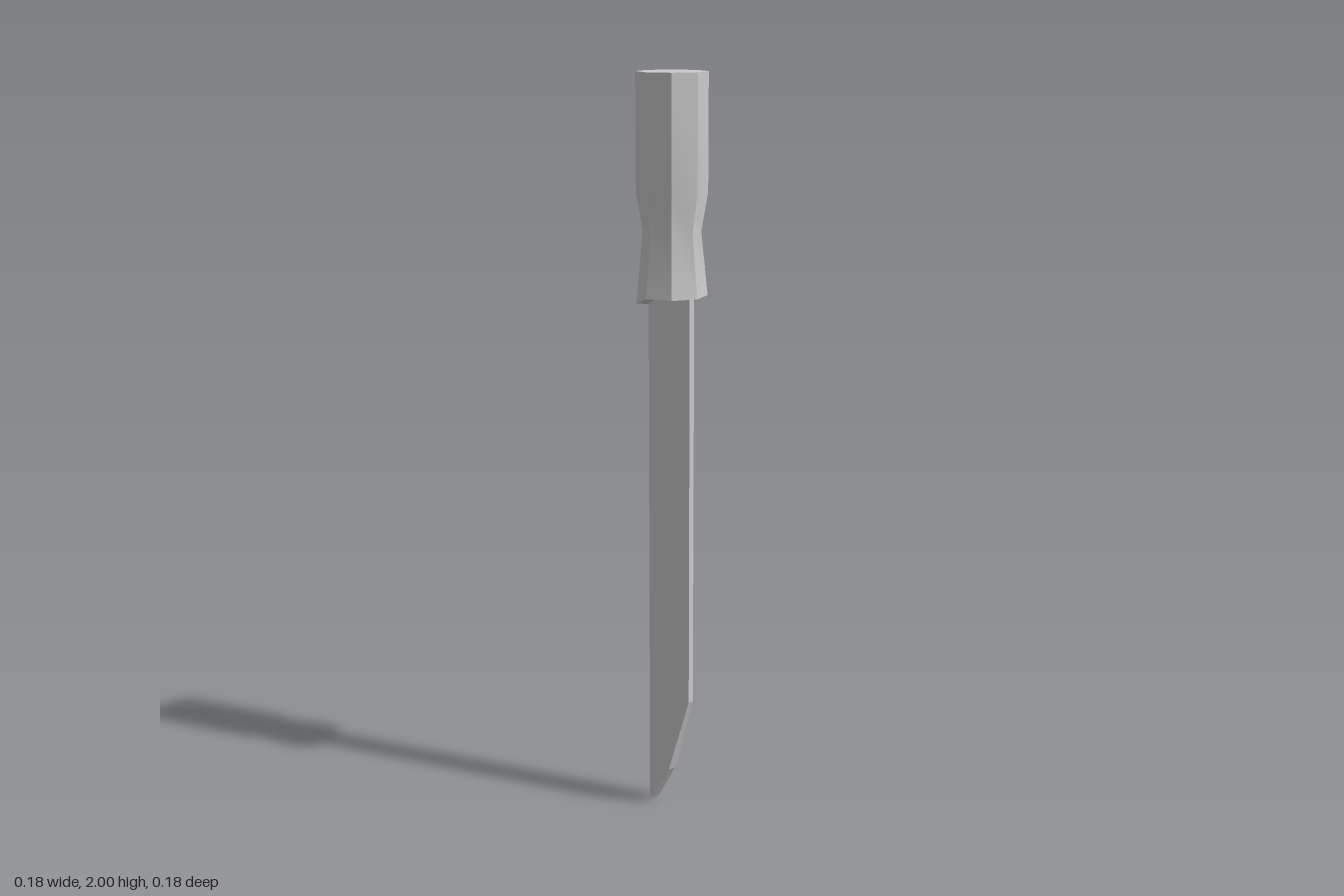
import * as THREE from 'three';
import { toCreasedNormals } from 'three/addons/utils/BufferGeometryUtils.js';

const material = new THREE.MeshStandardMaterial({ color: 0xcccccc });

function addMesh(group, name, geometry) {
  const mesh = new THREE.Mesh(geometry, material);
  mesh.name = name;
  group.add(mesh);
}

// Apply a rule to every vertex of a geometry
function reshape(geometry, rule) {
  const pos = geometry.attributes.position;
  const v = new THREE.Vector3();
  for (let i = 0; i < pos.count; i++) {
    rule(v.fromBufferAttribute(pos, i));
    pos.setXYZ(i, v.x, v.y, v.z);
  }
  return geometry;
}

// Eight-sided grip with a narrowed neck and a lower rim that dips at the back
function handleGeometry() {
  const profile = [[0, 1.435], [0.092, 1.435], [0.075, 1.6], [0.092, 1.7], [0.092, 2], [0, 2]];
  const lathe = new THREE.LatheGeometry(profile.map(([r, y]) => new THREE.Vector2(r, y)), 8);
  reshape(lathe, (v) => {
    if (v.y < 1.5) v.y -= 0.035 * Math.pow(Math.max(0, -v.z / 0.092), 1.4);
  });
  return toCreasedNormals(lathe, Math.PI / 5);
}

// Wedge-section blade: thick spine at the back, thin edge at the front
function bladeGeometry() {
  const back = -0.07, front = 0.073, half = 0.017, edge = 0.008;
  const outline = [[back, 0], [0, 0.11], [front, 0.33], [front, 1.46], [back, 1.46]];
  const shape = new THREE.Shape(outline.map(([z, y]) => new THREE.Vector2(z, y)));
  const blade = new THREE.ExtrudeGeometry(shape, { depth: 2 * half, bevelEnabled: false });
  blade.translate(0, 0, -half);
  blade.rotateY(-Math.PI / 2);
  reshape(blade, (v) => {
    const t = (v.z - back) / (front - back);
    v.x = Math.sign(v.x) * THREE.MathUtils.lerp(half, edge, t);
  });
  blade.computeVertexNormals();
  return blade;
}

export function createModel() {
  const group = new THREE.Group();
  group.name = 'knife';
  addMesh(group, 'handle', handleGeometry());
  addMesh(group, 'blade', bladeGeometry());
  return group;
}
